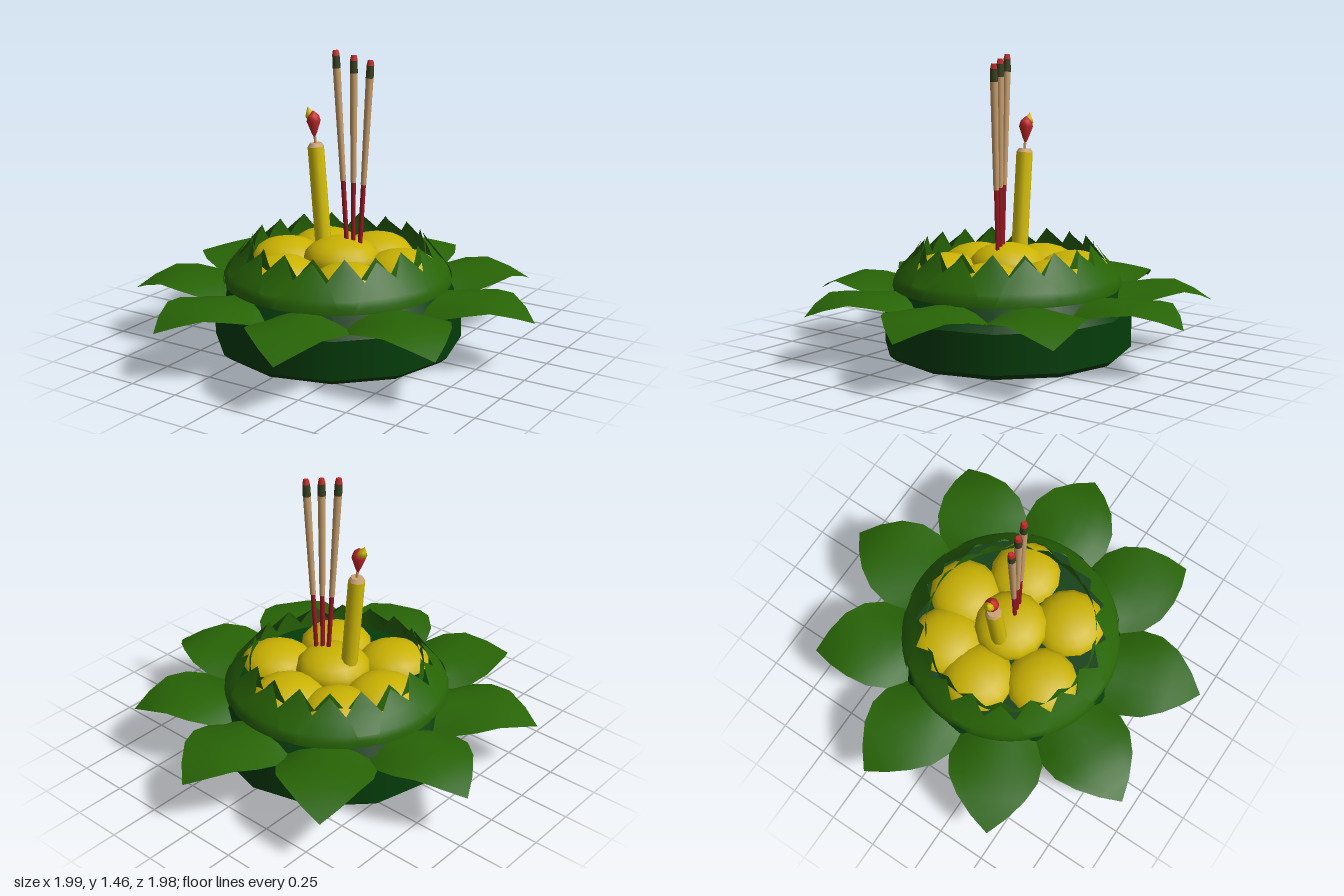
import * as THREE from 'three';

const paint = (name, color, side = THREE.FrontSide) => {
  const m = new THREE.MeshStandardMaterial({ color, side });
  m.name = name;
  return m;
};

export function createModel() {
  const model = new THREE.Group();
  const float = new THREE.Group();
  float.name = 'float';
  float.position.set(-0.01, 0, 0.02);
  model.add(float);

  const darkLeaf = paint('dark leaf green', 0x053d0a);
  const leaf = paint('leaf green', 0x286406, THREE.DoubleSide);
  const yellow = paint('blossom yellow', 0xcbb303);
  const wax = paint('candle yellow', 0xd8c208);
  const brown = paint('trunk brown', 0x3e3a22);
  const tan = paint('tan', 0xcca270);
  const stickRed = paint('stick red', 0x9c1824);
  const flameRed = paint('flame red', 0xc42828);
  const ash = paint('ash green', 0x3a4220);

  const add = (parent, name, geometry, material) => {
    const mesh = new THREE.Mesh(geometry, material);
    mesh.name = name;
    parent.add(mesh);
    return mesh;
  };
  const lathe = (pts, sides) =>
    new THREE.LatheGeometry(pts.map(([r, y]) => new THREE.Vector2(r, y)), sides);
  // Lathe with crisp edges between the straight runs of its profile
  const crispLathe = (parent, name, pts, sides, material) => {
    for (let i = 0; i + 1 < pts.length; i++) add(parent, name, lathe([pts[i], pts[i + 1]], sides), material);
  };

  // Petal from rows of [radius, height, half width, edge droop]
  const petal = (rows, wrap) => {
    const n = 6, pos = [], idx = [];
    for (const [r, y, half, droop] of rows) {
      for (let j = 0; j <= n; j++) {
        const v = (j / n) * 2 - 1, a = (half * v) / r;
        if (wrap) pos.push(r * Math.cos(a), y, r * Math.sin(a));
        else pos.push(r, y - droop * v * v, half * v);
      }
    }
    for (let i = 0; i + 1 < rows.length; i++) {
      for (let j = 0; j < n; j++) {
        const a = i * (n + 1) + j, b = a + n + 1;
        idx.push(a, a + 1, b, a + 1, b + 1, b);
      }
    }
    const g = new THREE.BufferGeometry();
    g.setAttribute('position', new THREE.Float32BufferAttribute(pos, 3));
    g.setIndex(idx);
    g.computeVertexNormals();
    return g;
  };
  const ring = (name, geometry, count, startDeg) => {
    for (let i = 0; i < count; i++) {
      add(float, name, geometry, leaf).rotation.y =
        -THREE.MathUtils.degToRad(startDeg + (i * 360) / count);
    }
  };

  // Round base with chamfered foot and shoulder, and the bare trunk slice below
  crispLathe(float, 'base', [[0, 0.003], [0.58, 0.003], [0.612, 0.03], [0.612, 0.22], [0.59, 0.25], [0.545, 0.335]], 12, darkLeaf);
  const slice = add(float, 'trunkSlice', new THREE.CircleGeometry(0.45, 20), brown);
  slice.rotation.x = Math.PI / 2;

  // Wide outer petals: edges wrap down at the root, tip bends down
  ring('outerPetal', petal([
    [0.48, 0.325, 0.17, 0.05], [0.56, 0.33, 0.21, 0.07], [0.65, 0.334, 0.236, 0.05],
    [0.75, 0.334, 0.224, 0.025], [0.85, 0.325, 0.17, 0.005], [0.94, 0.288, 0.09, 0],
    [1.014, 0.245, 0, 0],
  ], false), 9, -87);

  // Cup of folded leaves with two layers of points
  add(float, 'leafCup', lathe([[0.555, 0.325], [0.555, 0.36], [0.54, 0.385], [0.495, 0.43]], 36), leaf);
  add(float, 'cupFloor', lathe([[0.5, 0.4], [0, 0.4]], 24), darkLeaf);
  ring('tallLeafPoint', petal([
    [0.545, 0.38, 0.13], [0.492, 0.44, 0.1], [0.458, 0.49, 0.055], [0.42, 0.55, 0],
  ], true), 9, -67);
  ring('shortLeafPoint', petal([
    [0.562, 0.33, 0.17], [0.56, 0.36, 0.15], [0.546, 0.39, 0.135], [0.505, 0.44, 0.1],
    [0.47, 0.48, 0.055], [0.435, 0.53, 0],
  ], true), 9, -87);
  // Upright inner folds behind the points
  ring('innerLeafFold', petal([
    [0.422, 0.548, 0], [0.432, 0.49, 0.05], [0.436, 0.42, 0.1],
  ], true), 18, -87);

  // Seven flattened blossoms
  const blossom = new THREE.SphereGeometry(0.187, 14, 10);
  const spots = [[0.015, -0.01, 0.43], [-0.225, -0.245, 0.38], [0.04, -0.31, 0.38], [0.3, -0.11, 0.38],
    [0.2, 0.225, 0.38], [-0.14, 0.28, 0.38], [-0.3, 0, 0.38]];
  for (const [x, z, y] of spots) {
    const b = add(float, 'blossom', blossom, yellow);
    b.position.set(x, y, z);
    b.scale.y = 0.58;
  }

  // Group whose y axis runs from one point towards another
  const UP = new THREE.Vector3(0, 1, 0);
  const leaning = (name, from, to) => {
    const g = new THREE.Group();
    g.name = name;
    const dir = new THREE.Vector3(...to).sub(new THREE.Vector3(...from));
    g.position.set(...from);
    g.quaternion.setFromUnitVectors(UP, dir.clone().normalize());
    model.add(g);
    return [g, dir.length()];
  };
  const rod = (parent, name, r0, r1, y0, y1, sides, material) => {
    const m = add(parent, name, new THREE.CylinderGeometry(r1, r0, y1 - y0, sides), material);
    m.position.y = (y0 + y1) / 2;
  };

  // Candle with pale top, wick and flame
  const [candle, h] = leaning('candle', [-0.1, 0.48, 0.01], [-0.145, 0.99, 0.01]);
  rod(candle, 'candleBody', 0.041, 0.041, 0, h - 0.018, 8, wax);
  rod(candle, 'candleTop', 0.041, 0.03, h - 0.018, h, 8, tan);
  rod(candle, 'wick', 0.007, 0.007, h, h + 0.03, 6, tan);
  const flame = add(model, 'flame', lathe([[0, 0], [0.014, 0.03], [0.035, 0.088], [0.028, 0.115], [0, 0.14]], 8), flameRed);
  flame.position.set(-0.15, 1.01, 0.01);
  flame.rotation.z = 0.06;
  const tip = add(model, 'flameTip', lathe([[0, 0], [0.026, 0.03], [0.016, 0.05], [0, 0.078]], 8), wax);
  tip.position.set(-0.164, 1.092, 0.01);
  tip.rotation.z = 0.35;

  // Three incense sticks
  const sticks = [
    [[0.038, 0.5, 0.012], [-0.018, 1.455, 0.025]],
    [[0.068, 0.5, 0.003], [0.07, 1.435, 0.003]],
    [[0.102, 0.5, -0.005], [0.15, 1.415, -0.018]],
  ];
  for (const [from, to] of sticks) {
    const [g, len] = leaning('incenseStick', from, to);
    rod(g, 'stickHandle', 0.011, 0.012, 0, 0.34 * len, 6, stickRed);
    rod(g, 'stickBody', 0.014, 0.019, 0.34 * len, len - 0.085, 8, tan);
    rod(g, 'stickAsh', 0.0195, 0.018, len - 0.085, len - 0.025, 8, ash);
    rod(g, 'ember', 0.0185, 0.013, len - 0.025, len, 6, flameRed);
  }
  return model;
}
